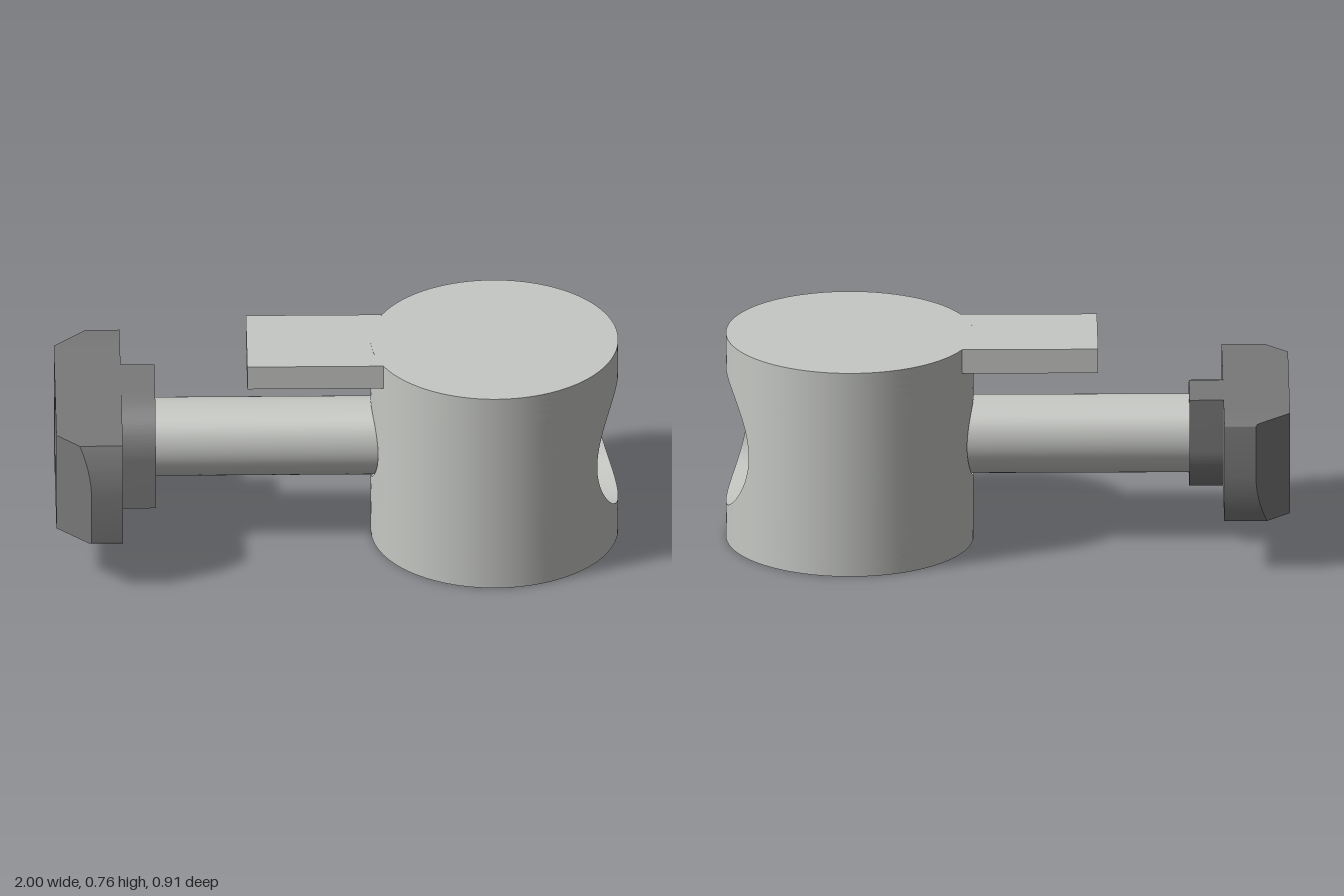
import * as THREE from 'three';
import { toCreasedNormals } from 'three/addons/utils/BufferGeometryUtils.js';
import { ParametricGeometry } from 'three/addons/geometries/ParametricGeometry.js';

const R = 0.44, CX = 0.56, H = 0.765, AXIS = H / 2;   // barrel radius, centre x, height, bolt height
const SHAFT_R = 0.14, FLOOR = 0.42, FACE = 0.70;      // shaft radius, counterbore floor, bolt head face
const SEG = 48;                                       // segments per side of the unrolled half barrel

export function createModel() {
  const model = new THREE.Group();
  model.name = 'slotConnector';
  const light = new THREE.MeshStandardMaterial({ color: 0xc6c8c4, side: THREE.DoubleSide });
  light.name = 'light metal';
  const dark = new THREE.MeshStandardMaterial({ color: 0x797979, side: THREE.DoubleSide });
  dark.name = 'dark metal';

  const group = (name, y = 0) => {
    const g = new THREE.Group();
    g.name = name;
    g.position.y = y;
    model.add(g);
    return g;
  };
  const add = (parent, name, geometry, material) => {
    const mesh = new THREE.Mesh(geometry, material);
    mesh.name = name;
    parent.add(mesh);
    return mesh;
  };

  // Barrel: two half shells, each with a round cross hole
  const barrel = group('barrel', AXIS);
  const corners = [[-1, 1], [1, 1], [1, -1], [-1, -1]];
  const perimeter = (u) => {
    const k = Math.min(3, Math.floor(u * 4 + 1e-9)), f = u * 4 - k;
    const a = corners[k], b = corners[(k + 1) % 4];
    const w = (a[0] + (b[0] - a[0]) * f) * Math.PI / 2;
    const y = (a[1] + (b[1] - a[1]) * f) * AXIS;
    return { w, y, t: Math.atan2(y, R * w) };
  };
  const halfBarrel = (s, r, name) => {
    add(barrel, name + 'Wall', new ParametricGeometry((u, v, p) => {
      const { w, y, t } = perimeter(u);
      const w0 = Math.asin(r * Math.cos(t) / R);
      const a = w0 + (w - w0) * v, h = r * Math.sin(t);
      p.set(CX + s * R * Math.cos(a), h + (y - h) * v, -s * R * Math.sin(a));
    }, SEG * 4, 10), light);
    add(barrel, name + 'Bore', new ParametricGeometry((u, v, p) => {
      const { t } = perimeter(u);
      const c = r * Math.cos(t), mouth = CX + s * Math.sqrt(R * R - c * c);
      p.set(FLOOR + (mouth - FLOOR) * v, r * Math.sin(t), -s * c);
    }, SEG * 4, 1), light);
  };
  halfBarrel(1, 0.25, 'outer');
  halfBarrel(-1, 0.146, 'inner');
  add(barrel, 'boreFloor', new THREE.RingGeometry(0.146, 0.25, 64).rotateY(Math.PI / 2).translate(FLOOR, 0, 0), light);
  for (const s of [1, -1]) {
    add(barrel, s > 0 ? 'topCap' : 'bottomCap',
      new THREE.CircleGeometry(R, SEG * 2).rotateX(-s * Math.PI / 2).translate(CX, s * AXIS, 0), light);
  }

  // Flat tab that meets the barrel along its round wall
  const tab = new THREE.Shape();
  const a = Math.asin(0.19 / R);
  tab.moveTo(-0.32, -0.19);
  tab.lineTo(CX - R * Math.cos(a), -0.19);
  tab.absarc(CX, 0, R, Math.PI + a, Math.PI - a, true);
  tab.lineTo(-0.32, 0.19);
  tab.closePath();
  add(model, 'tab', new THREE.ExtrudeGeometry(tab, { depth: 0.09, bevelEnabled: false, curveSegments: 16 })
    .rotateX(-Math.PI / 2).translate(0, H - 0.09, 0), light);

  // Bolt: shaft, round head with softened rim, hexagonal socket
  const bolt = group('bolt', AXIS);
  const lathe = (points, sides) =>
    new THREE.LatheGeometry(points.map((p) => new THREE.Vector2(...p)), sides).rotateZ(-Math.PI / 2);
  const END = -0.8;
  add(bolt, 'shaft', new THREE.CylinderGeometry(SHAFT_R, SHAFT_R, FLOOR - END, 64)
    .rotateZ(-Math.PI / 2).translate((FLOOR + END) / 2, 0, 0), light);
  add(bolt, 'head', toCreasedNormals(lathe([[SHAFT_R, FLOOR], [0.238, FLOOR], [0.238, FACE - 0.015],
    [0.235, FACE - 0.006], [0.225, FACE]], 64), 0.9), dark);
  const face = new THREE.Shape().absarc(0, 0, 0.225, 0, Math.PI * 2, false);
  const hex = new THREE.Path();
  hex.setFromPoints(Array.from({ length: 6 }, (_, i) =>
    new THREE.Vector2(0.138 * Math.cos(i * Math.PI / 3), 0.138 * Math.sin(i * Math.PI / 3))));
  hex.closePath();
  face.holes.push(hex);
  add(bolt, 'headFace', new THREE.ShapeGeometry(face, 32).rotateY(Math.PI / 2).translate(FACE, 0, 0), dark);
  const socket = lathe([[0.138, FACE], [0.138, FACE - 0.12], [0, FACE - 0.2]], 6).toNonIndexed();
  socket.computeVertexNormals();
  add(bolt, 'hexSocket', socket, dark);

  // Slot nut: drilled middle block, neck and two chamfered wings
  const nut = group('slotNut', AXIS);
  const HALF = 0.188, BACK = -1, STEP = -0.765, FRONT = -0.645;
  const slab = (shape, x0, x1) => new THREE.ExtrudeGeometry(shape,
    { depth: x0 - x1, bevelEnabled: false, curveSegments: 24 }).rotateY(-Math.PI / 2).translate(x0, 0, 0);
  const drill = (shape) => {
    shape.holes.push(new THREE.Path().absarc(0, 0, SHAFT_R + 0.001, 0, Math.PI * 2, true));
    return shape;
  };

  const block = new THREE.Shape();
  block.moveTo(-0.33, -HALF);
  block.lineTo(0.33, -HALF);
  block.lineTo(0.33, HALF);
  block.lineTo(-0.33, HALF);
  block.closePath();
  add(nut, 'nutBlock', toCreasedNormals(slab(drill(block), STEP, BACK), 0.5), dark);

  // Neck with two opposite corners fully rounded
  const neck = new THREE.Shape();
  neck.moveTo(HALF, -HALF);
  neck.lineTo(HALF, 0);
  neck.absarc(0, 0, HALF, 0, Math.PI / 2, false);
  neck.lineTo(-HALF, HALF);
  neck.lineTo(-HALF, 0);
  neck.absarc(0, 0, HALF, Math.PI, Math.PI * 1.5, false);
  neck.closePath();
  add(nut, 'nutNeck', toCreasedNormals(slab(drill(neck), FRONT, STEP), 0.5), dark);

  // Wing: rounded upper end, back face slanted at 45 degrees
  const wing = new THREE.Shape();
  const wr = 0.453;
  wing.moveTo(0.33, -HALF);
  wing.lineTo(wr - 0.012, -HALF);
  wing.quadraticCurveTo(wr, -HALF, wr, -HALF + 0.012);
  wing.lineTo(wr, 0);
  wing.absarc(0, 0, wr, 0, Math.asin(HALF / wr), false);
  wing.lineTo(0.33, HALF);
  wing.closePath();
  const wingGeo = slab(wing, STEP, BACK);
  const pos = wingGeo.attributes.position;
  for (let i = 0; i < pos.count; i++) {
    if (pos.getX(i) < BACK + 0.01) pos.setX(i, BACK + pos.getZ(i) - 0.33);
  }
  const wingSmooth = toCreasedNormals(wingGeo, 0.5);
  add(nut, 'leftWing', wingSmooth, dark);
  add(nut, 'rightWing', wingSmooth, dark).rotation.x = Math.PI;

  // Bright lining of the nut's drilled hole
  add(nut, 'nutHole', new THREE.CylinderGeometry(SHAFT_R, SHAFT_R, END - BACK, 64, 1, true)
    .rotateZ(-Math.PI / 2).translate((END + BACK) / 2, 0, 0), light);

  return model;
}
